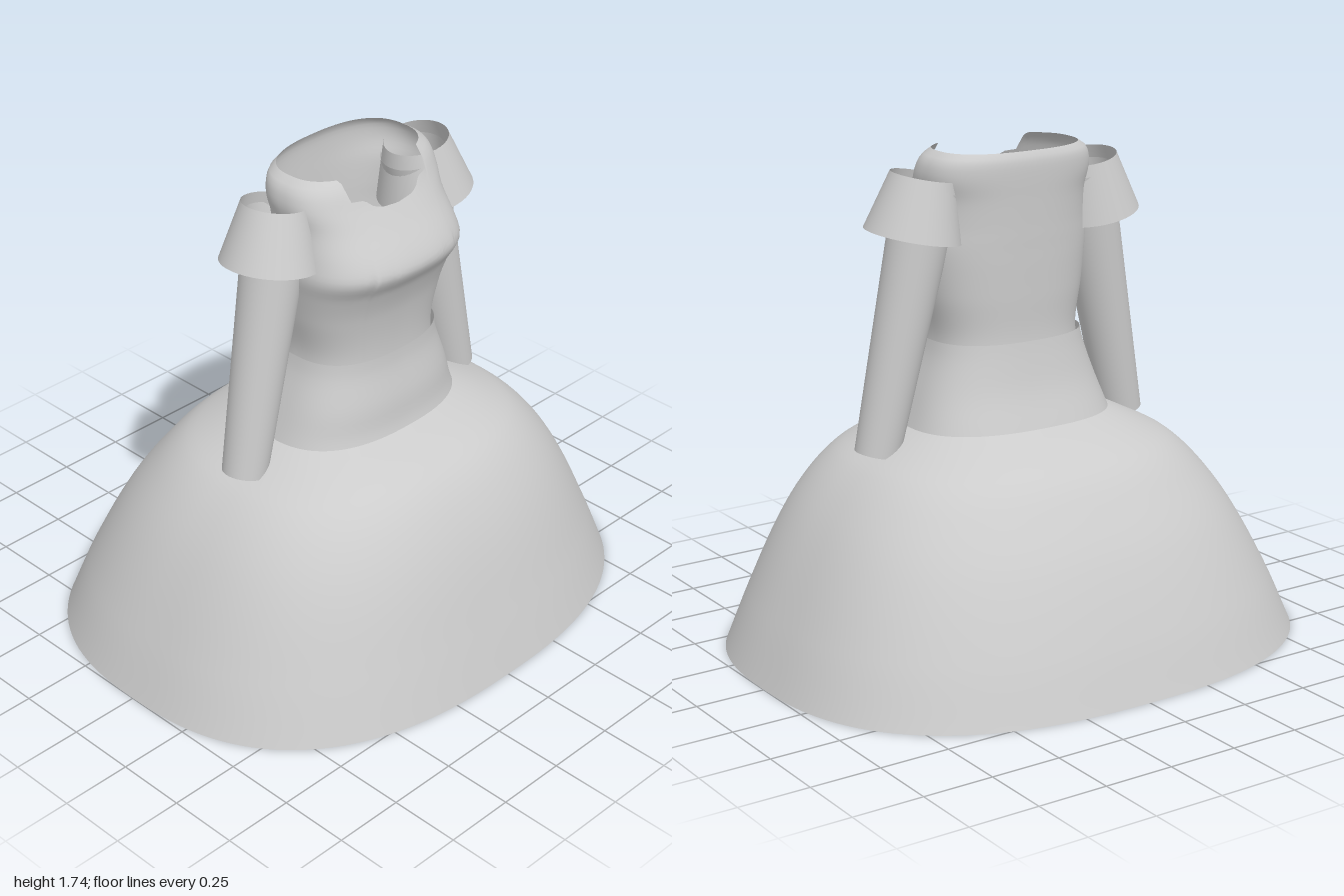
import * as THREE from 'three';

const material = new THREE.MeshStandardMaterial({ color: 0xcccccc, side: THREE.DoubleSide });
const COLS = 128;

// Smooth value of column k at height y; rows are [y, halfWidth, frontZ, backZ], rising
function sample(rows, y, k) {
  let i = 0;
  while (i < rows.length - 2 && y > rows[i + 1][0]) i++;
  const slope = (a, b) => (rows[b][k] - rows[a][k]) / (rows[b][0] - rows[a][0]);
  const last = rows.length - 1;
  const h = rows[i + 1][0] - rows[i][0], t = (y - rows[i][0]) / h;
  const m0 = slope(Math.max(i - 1, 0), i + 1) * h;
  const m1 = slope(i, Math.min(i + 2, last)) * h;
  const t2 = t * t, t3 = t2 * t;
  return (2 * t3 - 3 * t2 + 1) * rows[i][k] + (t3 - 2 * t2 + t) * m0
    + (3 * t2 - 2 * t3) * rows[i + 1][k] + (t3 - t2) * m1;
}

// Open shell of rounded oval sections; topAt(angle) may lower the upper edge
function shell(name, rows, steps, topAt) {
  const pos = [], index = [];
  const y0 = rows[0][0], y1 = rows[rows.length - 1][0];
  const power = (v) => Math.sign(v) * Math.abs(v) ** 0.8;
  for (let r = 0; r <= steps; r++) {
    for (let c = 0; c < COLS; c++) {
      const a = (c / COLS) * Math.PI * 2;
      const y = y0 + ((topAt ? topAt(a) : y1) - y0) * (r / steps);
      const front = sample(rows, y, 2), back = sample(rows, y, 3);
      pos.push(
        sample(rows, y, 1) * power(Math.cos(a)), y,
        (front + back) / 2 + ((front - back) / 2) * power(Math.sin(a)));
      if (r < steps) {
        const p = r * COLS + c, q = r * COLS + (c + 1) % COLS;
        index.push(p, p + COLS, q, p + COLS, q + COLS, q);
      }
    }
  }
  const g = new THREE.BufferGeometry();
  g.setAttribute('position', new THREE.Float32BufferAttribute(pos, 3));
  g.setIndex(index);
  g.computeVertexNormals();
  const mesh = new THREE.Mesh(g, material);
  mesh.name = name;
  return mesh;
}

// Open tapered tube between two points
function taper(name, low, rLow, high, rHigh) {
  const a = new THREE.Vector3(...low), b = new THREE.Vector3(...high);
  const dir = b.clone().sub(a);
  const mesh = new THREE.Mesh(new THREE.CylinderGeometry(rHigh, rLow, dir.length(), 40, 4, true), material);
  mesh.position.copy(a).lerp(b, 0.5);
  mesh.quaternion.setFromUnitVectors(new THREE.Vector3(0, 1, 0), dir.normalize());
  mesh.name = name;
  return mesh;
}

// Torn neckline: height of the front edge by distance from the middle
const NECK = [[0, 1.63], [0.06, 1.635], [0.09, 1.645], [0.115, 1.67], [0.16, 1.675], [0.175, 1.725], [0.2, 1.74]];
function neckline(a) {
  const x = 0.29 * Math.abs(Math.cos(a)) ** 0.8;
  if (Math.sin(a) <= 0 || x >= 0.2) return 1.74;
  const i = NECK.findIndex((p) => p[0] > x);
  const [x0, y0] = NECK[i - 1], [x1, y1] = NECK[i];
  return y0 + ((y1 - y0) * (x - x0)) / (x1 - x0);
}

export function createModel() {
  const model = new THREE.Group();
  model.name = 'gown';

  // Wide outer skirt
  model.add(shell('outerSkirt', [
    [0, 1, 0.82, -0.815], [0.2, 0.915, 0.76, -0.74], [0.43, 0.8, 0.685, -0.63],
    [0.58, 0.7, 0.615, -0.53], [0.69, 0.59, 0.535, -0.435], [0.75, 0.48, 0.45, -0.335],
    [0.8, 0.375, 0.33, -0.22],
  ], 48));

  // Hip panel, running on as the petticoat under the skirt
  model.add(shell('petticoat', [
    [0, 0.68, 0.6, -0.51], [0.4, 0.53, 0.47, -0.37], [0.8, 0.38, 0.33, -0.22],
    [0.92, 0.338, 0.315, -0.175], [1.04, 0.295, 0.292, -0.148], [1.09, 0.285, 0.29, -0.14],
  ], 36));

  // Bodice, running on as the inner lining down to the hem
  model.add(shell('bodice', [
    [0, 0.365, 0.355, -0.25], [0.5, 0.35, 0.32, -0.21], [0.85, 0.31, 0.29, -0.15],
    [1.09, 0.272, 0.28, -0.125], [1.25, 0.298, 0.3, -0.128], [1.36, 0.317, 0.338, -0.131],
    [1.41, 0.326, 0.37, -0.132], [1.44, 0.326, 0.38, -0.133], [1.49, 0.317, 0.36, -0.134],
    [1.58, 0.306, 0.3, -0.137], [1.65, 0.317, 0.255, -0.14], [1.7, 0.308, 0.23, -0.14],
    [1.725, 0.29, 0.213, -0.135], [1.74, 0.265, 0.2, -0.125],
  ], 100, neckline));

  // Long sleeves and flared shoulder caps
  for (const [side, s] of [['left', 1], ['right', -1]]) {
    model.add(taper(side + 'Sleeve', [s * 0.51, 0.725, 0.058], 0.078, [s * 0.315, 1.62, 0.035], 0.112));
    model.add(taper(side + 'ShoulderCap', [s * 0.367, 1.465, 0.045], 0.168, [s * 0.33, 1.665, 0.035], 0.112));
  }
  return model;
}
